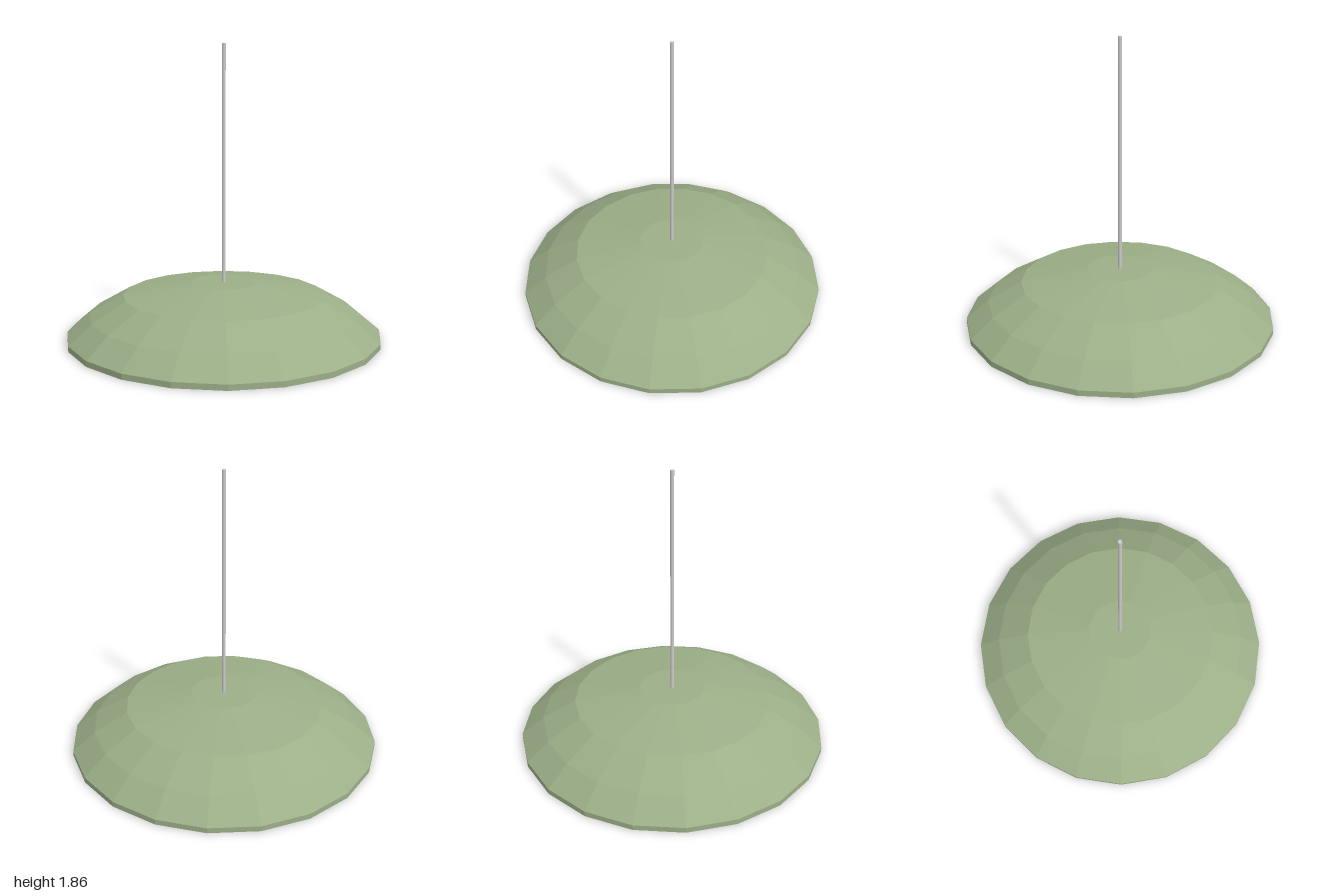
import * as THREE from 'three';

export function createModel() {
  const group = new THREE.Group();
  const grey = new THREE.MeshStandardMaterial({ color: 0xcccccc });
  const green = new THREE.MeshStandardMaterial({
    color: 0x9caf88, flatShading: true, side: THREE.DoubleSide,
  });

  const add = (name, geometry, material, y = 0) => {
    const mesh = new THREE.Mesh(geometry, material);
    mesh.name = name;
    mesh.position.y = y;
    group.add(mesh);
  };

  // Thin faceted shade: short upright rim, then a shallow dome with a flat crown
  const profile = [[1, 0], [1, 0.035], [0.855, 0.157], [0.64, 0.28], [0.21, 0.355], [0, 0.355]]
    .map(([r, y]) => new THREE.Vector2(r, y));
  add('shade', new THREE.LatheGeometry(profile, 20), green);

  // Hanging rod, from the socket up to the ceiling end
  const rodBottom = 0.33, rodTop = 1.857;
  add('rod', new THREE.CylinderGeometry(0.012, 0.012, rodTop - rodBottom, 12), grey, (rodTop + rodBottom) / 2);

  // Lamp socket and round bulb under the crown
  add('socket', new THREE.CylinderGeometry(0.057, 0.057, 0.07, 20), grey, 0.295);
  add('bulb', new THREE.SphereGeometry(0.094, 24, 16), grey, 0.206);

  return group;
}
